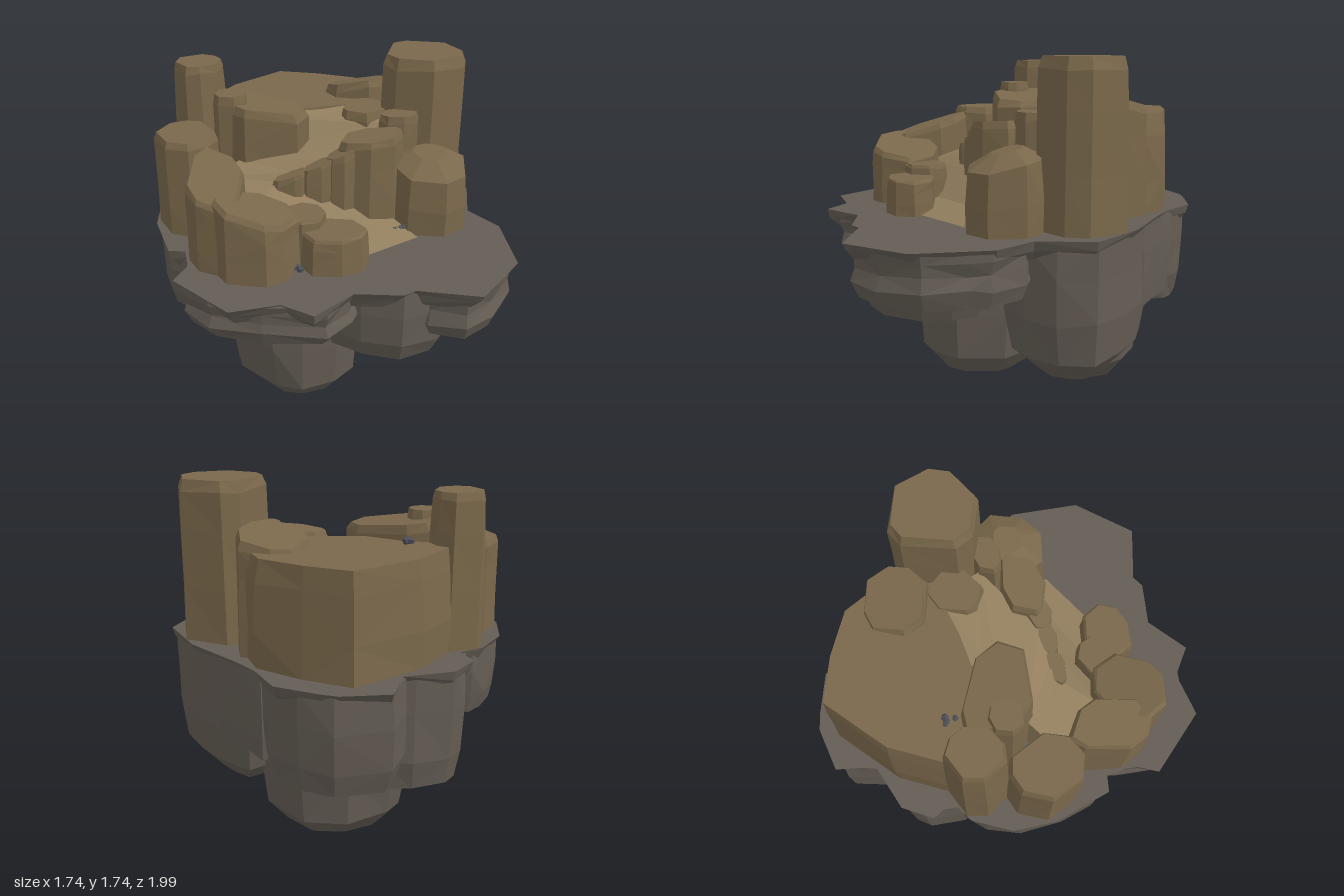
import * as THREE from 'three';

const mat = (color) => new THREE.MeshStandardMaterial({ color, flatShading: true, side: THREE.DoubleSide });
const CLIFF = mat(0x7a684b), STONE = mat(0x645d54), PATH = mat(0x927e5e), PEBBLE = mat(0x4c4f56);

let seed = 7;
const rnd = () => {
  seed = (seed * 16807) % 2147483647;
  return seed / 2147483647 - 0.5;
};

// irregular polygon filling the box x0..x1, z0..z1
function blob(x0, x1, z0, z1, sides = 8) {
  const raw = [];
  for (let i = 0; i < sides; i++) {
    const a = ((i + 0.6 * rnd()) / sides) * Math.PI * 2;
    const r = 1 + 0.1 * rnd();
    raw.push([Math.cos(a) * r, Math.sin(a) * r]);
  }
  const xs = raw.map((p) => p[0]), zs = raw.map((p) => p[1]);
  const fit = (v, list, lo, hi) => {
    const min = Math.min(...list);
    return lo + ((v - min) / (Math.max(...list) - min)) * (hi - lo);
  };
  return raw.map(([x, z]) => [fit(x, xs, x0, x1), fit(z, zs, z0, z1)]);
}

// pulls a point back inside the border along the line to the centre
function clampInside([x, z], border) {
  let k = 1;
  border.forEach((p, i) => {
    const q = border[(i + 1) % border.length];
    const ex = q[0] - p[0], ez = q[1] - p[1];
    const den = x * ez - z * ex;
    const s = (p[0] * ez - p[1] * ex) / den, u = (p[0] * z - p[1] * x) / den;
    if (s > 0 && u >= 0 && u <= 1) k = Math.min(k, s * 0.99);
  });
  return [x * k, z * k];
}

// stacks scaled copies of an outline; profile rows are [height fraction, scale]
function rock(name, outline, y0, y1, profile, material, rough, tiltX = 0, tiltZ = 0) {
  const n = outline.length;
  const cx = outline.reduce((s, p) => s + p[0], 0) / n;
  const cz = outline.reduce((s, p) => s + p[1], 0) / n;
  const last = profile.length - 1;
  const rings = profile.map(([t, s], j) => outline.map(([px, pz]) => {
    const r = j > 0 && j < last ? rough : 0;
    const k = s + r * 2 * rnd();
    const dx = (px - cx) * k, dz = (pz - cz) * k;
    return [cx + dx, y0 + (y1 - y0) * t + r * rnd() + t * (tiltX * dx + tiltZ * dz), cz + dz];
  }));
  const pos = [];
  const tri = (a, b, c) => pos.push(...a, ...b, ...c);
  for (let j = 0; j < last; j++) {
    for (let i = 0; i < n; i++) {
      const a = rings[j][i], b = rings[j][(i + 1) % n];
      const d = rings[j + 1][i], c = rings[j + 1][(i + 1) % n];
      if ((i + j) % 2) { tri(a, d, b); tri(b, d, c); } else { tri(a, d, c); tri(a, c, b); }
    }
  }
  for (let i = 0; i < n; i++) {
    const k = (i + 1) % n;
    tri([cx, y1, cz], rings[last][k], rings[last][i]);
    tri([cx, y0, cz], rings[0][i], rings[0][k]);
  }
  return mesh(name, pos, material);
}

function mesh(name, pos, material) {
  const g = new THREE.BufferGeometry();
  g.setAttribute('position', new THREE.Float32BufferAttribute(pos, 3));
  g.computeVertexNormals();
  const m = new THREE.Mesh(g, material);
  m.name = name;
  return m;
}

// rising path with side walls; stations are [x, z, x, z, y]
function ramp(stations, floor) {
  const pos = [];
  const quad = (a, b, c, d) => pos.push(...a, ...b, ...c, ...a, ...c, ...d);
  for (let i = 0; i + 1 < stations.length; i++) {
    const [[ax, az, bx, bz, y], [cx, cz, dx, dz, h]] = [stations[i], stations[i + 1]];
    quad([ax, y, az], [bx, y, bz], [dx, h, dz], [cx, h, cz]);
    quad([ax, floor, az], [ax, y, az], [cx, h, cz], [cx, floor, cz]);
    quad([bx, y, bz], [bx, floor, bz], [dx, floor, dz], [dx, h, dz]);
  }
  return mesh('windingPath', pos, PATH);
}

export function createModel() {
  const island = new THREE.Group();
  island.name = 'rockIsland';

  // ground ledge
  const ledge = [
    [-0.28, -0.97], [-0.05, -1], [0.03, -0.98], [0.24, -0.9], [0.34, -0.73], [0.44, -0.62], [0.7, -0.38],
    [0.86, -0.12], [0.77, 0.15], [0.87, 0.35], [0.82, 0.72], [0.56, 0.97], [0.28, 0.87], [0.22, 0.9],
    [0, 0.85], [-0.2, 0.99], [-0.33, 0.88], [-0.56, 0.9], [-0.79, 0.6], [-0.72, 0.48], [-0.73, 0.34],
    [-0.81, 0.32], [-0.87, 0.02], [-0.85, -0.2], [-0.74, -0.38], [-0.62, -0.45], [-0.67, -0.56],
    [-0.57, -0.7], [-0.33, -0.77],
  ];
  island.add(rock('groundLedge', ledge, 0.84, 0.94, [[0, 0.93], [0.55, 0.97], [1, 1]], STONE, 0.02));

  // hanging stones, kept under the ledge: [name, x0, x1, z0, z1, bottom, profile]
  const taper = [[0, 0.5], [0.19, 0.9], [0.45, 0.97], [0.75, 1], [1, 0.98]];
  const root = [[0, 0.66], [0.12, 0.92], [0.4, 1], [0.75, 0.99], [1, 0.95]];
  const lump = [[0, 0.88], [0.25, 0.97], [0.65, 1], [1, 0.98]];
  const shelf = [[0, 0.9], [0.3, 0.98], [0.55, 0.93], [0.8, 0.97], [1, 0.99]];
  [
    ['leftStone', -0.9, -0.44, -0.42, 0.36, 0.58, lump],
    ['frontLeftShelf', -0.86, 0.12, 0.16, 1.03, 0.72, shelf],
    ['frontMiddleShelf', -0.1, 0.6, 0.1, 0.87, 0.53, lump],
    ['frontRightShelf', 0.26, 0.92, 0.08, 0.99, 0.67, shelf],
    ['rightStone', 0.13, 0.86, -0.6, 0.22, 0.2, taper],
    ['frontRootStone', -0.52, 0.2, -0.22, 0.52, 0.03, root],
    ['lowestRootStone', -0.38, 0.37, -0.69, 0, 0, root],
    ['backStone', -0.38, 0.32, -1.03, -0.42, 0.43, lump],
    ['backLeftStone', -0.66, -0.12, -0.8, -0.15, 0.34, lump],
    ['backRightStone', 0.15, 0.62, -0.78, -0.3, 0.49, lump],
  ].forEach(([name, x0, x1, z0, z1, y0, profile]) => {
    const outline = blob(x0, x1, z0, z1, 11).map((p) => clampInside(p, ledge));
    island.add(rock(name, outline, y0, 0.93, profile, STONE, 0.03));
  });

  // high plateau and the slanted rock beside it
  const cliff = [[0, 1.01], [0.35, 0.99], [0.7, 0.97], [0.93, 0.95], [1, 0.87]];
  const plateau = [[0.36, -0.22], [0.05, -0.17], [-0.4, -0.15], [-0.58, -0.42], [-0.42, -0.67],
    [-0.11, -0.91], [0.12, -0.82], [0.34, -0.69], [0.41, -0.53]];
  const slanted = [[-0.05, -0.03], [-0.13, 0.08], [-0.4, 0.04], [-0.53, -0.1], [-0.47, -0.32],
    [-0.36, -0.31], [-0.1, -0.16]];
  const mesa = [[0, 1], [0.35, 1], [0.8, 0.98], [1, 0.93]];
  island.add(rock('plateau', plateau, 0.93, 1.45, mesa, CLIFF, 0.03));
  island.add(rock('innerLeftRock', slanted, 0.93, 1.52, cliff, CLIFF, 0.02, -0.12));

  // cliff pillars: [name, x0, x1, z0, z1, top, profile, tilt x, tilt z]
  const slim = [[0, 1], [0.4, 0.97], [0.75, 0.92], [0.95, 0.88], [1, 0.8]];
  const peak = [[0, 1], [0.4, 1.01], [0.85, 0.94], [1, 0.4]];
  [
    ['tallTower', 0.33, 0.79, -0.39, 0.08, 1.74, cliff],
    ['backTowerRock', 0.09, 0.46, -0.61, -0.26, 1.51, cliff, 0.1, 0.25],
    ['innerTowerRock', 0.12, 0.39, -0.29, 0, 1.46, cliff],
    ['towerFootRock', 0.28, 0.5, -0.02, 0.13, 1.48, cliff],
    ['rightPeakRock', 0.3, 0.72, 0.02, 0.41, 1.32, peak, 0, -0.22],
    ['slimTower', -0.74, -0.45, -0.45, -0.15, 1.7, slim],
    ['leftRock', -0.85, -0.52, -0.18, 0.2, 1.43, cliff],
    ['leftSlopedRock', -0.71, -0.42, 0.13, 0.6, 1.34, cliff, 0, -0.3],
    ['frontLeftRock', -0.6, -0.18, 0.35, 0.73, 1.25, cliff, -0.3, 0],
    ['frontSmallRock', -0.28, -0.05, 0.35, 0.58, 1.17, cliff],
    ['frontLowRock', -0.2, 0.13, 0.44, 0.7, 1.12, cliff],
    ['innerLeftCap', -0.54, -0.36, -0.2, -0.02, 1.58, cliff],
    ['middleRock', 0.04, 0.4, 0.07, 0.3, 1.42, cliff, 0.1, 0],
    ['middleStepHigh', -0.02, 0.15, 0.16, 0.29, 1.36, cliff, 0.4, 0],
    ['middleStepMid', -0.15, 0.04, 0.18, 0.28, 1.31, cliff, 0.4, 0],
    ['middleStepLow', -0.29, -0.1, 0.17, 0.28, 1.26, cliff, 0.3, 0],
  ].forEach(([name, x0, x1, z0, z1, top, profile, tiltX, tiltZ]) =>
    island.add(rock(name, blob(x0, x1, z0, z1), 0.93, top, profile, CLIFF, 0.02, tiltX, tiltZ)));

  // path winding up to the plateau
  island.add(ramp([
    [-0.05, 0.62, 0.42, 0.4, 0.945], [-0.2, 0.48, 0.32, 0.27, 1], [-0.45, 0.42, -0.05, 0.25, 1.14],
    [-0.58, 0.1, -0.25, 0.22, 1.22], [-0.42, 0, -0.17, 0.21, 1.26], [-0.12, -0.05, 0, 0.2, 1.32],
    [-0.08, -0.12, 0.34, 0, 1.41], [-0.15, -0.2, 0.25, -0.22, 1.445],
  ], 0.92));

  // loose pebbles
  [[-0.36, 1.46, -0.35], [-0.22, 0.95, 0.63], [0.34, 0.96, 0.36]].forEach(([x, y, z]) => {
    for (let i = 0; i < 4; i++) {
      const p = new THREE.Mesh(new THREE.DodecahedronGeometry(0.019 - i * 0.002), PEBBLE);
      p.name = 'pebble';
      p.position.set(x + 0.06 * rnd(), y + 0.008, z + 0.06 * rnd());
      island.add(p);
    }
  });

  return island;
}
